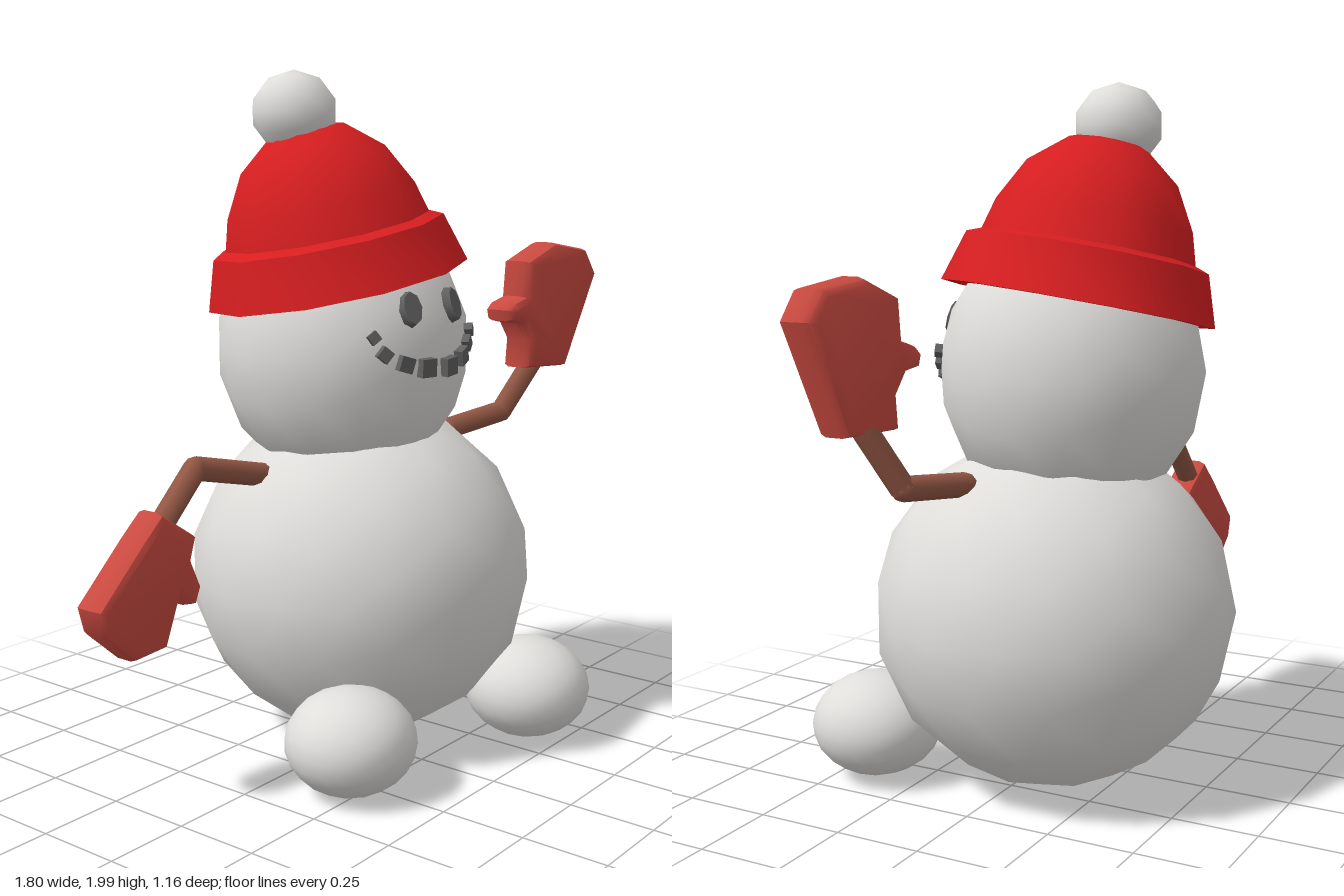
import * as THREE from 'three';
import { toCreasedNormals } from 'three/addons/utils/BufferGeometryUtils.js';

const material = (name, color, extra = {}) => {
  const m = new THREE.MeshStandardMaterial({ color, ...extra });
  m.name = name;
  return m;
};

export function createModel() {
  const snow = material('snow white', 0xe0dedb);
  const hatRed = material('hat red', 0xd61e20, { side: THREE.DoubleSide });
  const mittenRed = material('mitten red', 0xc94a40);
  const wood = material('stick brown', 0x945845);
  const coal = material('coal grey', 0x606060);

  const model = new THREE.Group();
  model.name = 'snowman';

  const add = (name, geometry, mat, parent = model) => {
    const mesh = new THREE.Mesh(geometry, mat);
    mesh.name = name;
    parent.add(mesh);
    return mesh;
  };

  // Snowballs: low-poly ellipsoids with smooth normals
  const ball = (name, center, radii, detail) => {
    const geo = new THREE.IcosahedronGeometry(1, detail).scale(...radii);
    add(name, geo, snow).position.set(...center);
  };
  const headCenter = [0.085, 1.2, -0.11], headRadii = [0.378, 0.42, 0.375];
  ball('body', [0.125, 0.52, -0.075], [0.518, 0.51, 0.518], 2);
  ball('head', headCenter, headRadii, 2);
  ball('rightFoot', [-0.3, 0.16, 0.22], [0.19, 0.15, 0.185], 3);
  ball('leftFoot', [0.35, 0.17, 0.39], [0.187, 0.15, 0.19], 3);
  ball('pompom', [-0.04, 1.88, -0.19], [0.122, 0.12, 0.128], 1);

  // Tilted knitted hat with a turned-up brim
  const profile = [
    [0.345, 0.06], [0.35, 0], [0.39, 0], [0.345, 0.145], [0.305, 0.16],
    [0.28, 0.25], [0.215, 0.37], [0.11, 0.455], [0, 0.475],
  ].map(([r, y]) => new THREE.Vector2(r, y));
  const hat = add('hat', toCreasedNormals(new THREE.LatheGeometry(profile, 11), 0.8), hatRed);
  hat.position.set(0.07, 1.385, -0.12);
  hat.rotation.set(-0.12, 0, 0.165);

  // Coal face, each piece laid on the head surface
  const face = new THREE.Group();
  face.name = 'face';
  model.add(face);
  const place = (mesh, x, y) => {
    const u = (x - headCenter[0]) / headRadii[0];
    const v = (y - headCenter[1]) / headRadii[1];
    const w = Math.sqrt(1 - u * u - v * v);
    const normal = new THREE.Vector3(u / headRadii[0], v / headRadii[1], w / headRadii[2]).normalize();
    mesh.position.set(x, y, headCenter[2] + w * headRadii[2]);
    mesh.quaternion.setFromUnitVectors(new THREE.Vector3(0, 0, 1), normal);
  };
  for (const [name, x] of [['rightEye', -0.035], ['leftEye', 0.14]]) {
    const geo = toCreasedNormals(new THREE.CylinderGeometry(0.03, 0.034, 0.03, 8), 0.8);
    geo.rotateX(Math.PI / 2).scale(1, 1.55, 1);
    place(add(name, geo, coal, face), x, 1.34);
  }
  const teeth = [
    [-0.147, 1.267, 0.03, 0.6], [-0.125, 1.22, 0.036, -0.7], [-0.07, 1.19, 0.044, -0.3],
    [0, 1.175, 0.052, 0], [0.095, 1.17, 0.052, 0.1], [0.17, 1.19, 0.046, 0.3],
    [0.212, 1.222, 0.036, 0.6], [0.255, 1.255, 0.028, 0.7],
  ];
  for (const [x, y, size, turn] of teeth) {
    const geo = new THREE.BoxGeometry(size, size, 0.03).rotateZ(turn);
    place(add('mouthCoal', geo, coal, face), x, y);
  }

  // Stick arms: straight pieces with a rounded joint at each point
  const arm = (name, coords) => {
    const group = new THREE.Group();
    group.name = name;
    model.add(group);
    const pts = coords.map((c) => new THREE.Vector3(...c));
    const radius = 0.034;
    pts.forEach((p, i) => {
      add('armJoint', new THREE.IcosahedronGeometry(radius, 1), wood, group).position.copy(p);
      if (!i) return;
      const dir = p.clone().sub(pts[i - 1]);
      const stick = add('armStick', new THREE.CylinderGeometry(radius, radius, dir.length(), 8), wood, group);
      stick.position.copy(p).add(pts[i - 1]).multiplyScalar(0.5);
      stick.quaternion.setFromUnitVectors(new THREE.Vector3(0, 1, 0), dir.normalize());
    });
  };
  arm('leftArm', [[0.42, 0.915, 0.045], [0.66, 0.94, 0.085], [0.75, 1.14, 0.17]]);
  arm('rightArm', [[-0.22, 0.85, -0.155], [-0.48, 0.91, -0.185], [-0.66, 0.76, -0.165]]);

  // Mittens: bevelled outlines, slanted in depth by a rule
  const mitten = (name, outline, depthAt) => {
    const shape = new THREE.Shape(outline.map(([x, y]) => new THREE.Vector2(x, y)));
    const geo = new THREE.ExtrudeGeometry(shape, {
      depth: 0.05, bevelThickness: 0.027, bevelSize: 0.022, bevelOffset: -0.022, bevelSegments: 2,
    });
    const pos = geo.attributes.position;
    for (let i = 0; i < pos.count; i++) {
      pos.setZ(i, pos.getZ(i) - 0.025 + depthAt(pos.getX(i), pos.getY(i)));
    }
    add(name, toCreasedNormals(geo, 0.7), mittenRed);
  };
  mitten('leftMitten', [
    [0.645, 1.09], [0.805, 1.085], [0.9, 1.38], [0.85, 1.46], [0.72, 1.485], [0.615, 1.43],
    [0.615, 1.32], [0.575, 1.305], [0.555, 1.28], [0.565, 1.245], [0.61, 1.235], [0.645, 1.18],
  ], (x, y) => 0.168 + 0.3 * (x - 0.72) + 0.07 * (y - 1.1));
  mitten('rightMitten', [
    [-0.675, 0.83], [-0.75, 0.76], [-0.9, 0.61], [-0.88, 0.535], [-0.78, 0.445], [-0.665, 0.455],
    [-0.615, 0.59], [-0.59, 0.555], [-0.555, 0.55], [-0.535, 0.6], [-0.57, 0.68], [-0.55, 0.745],
  ], (x) => -0.165 + 0.04 * (x + 0.7));

  return model;
}
